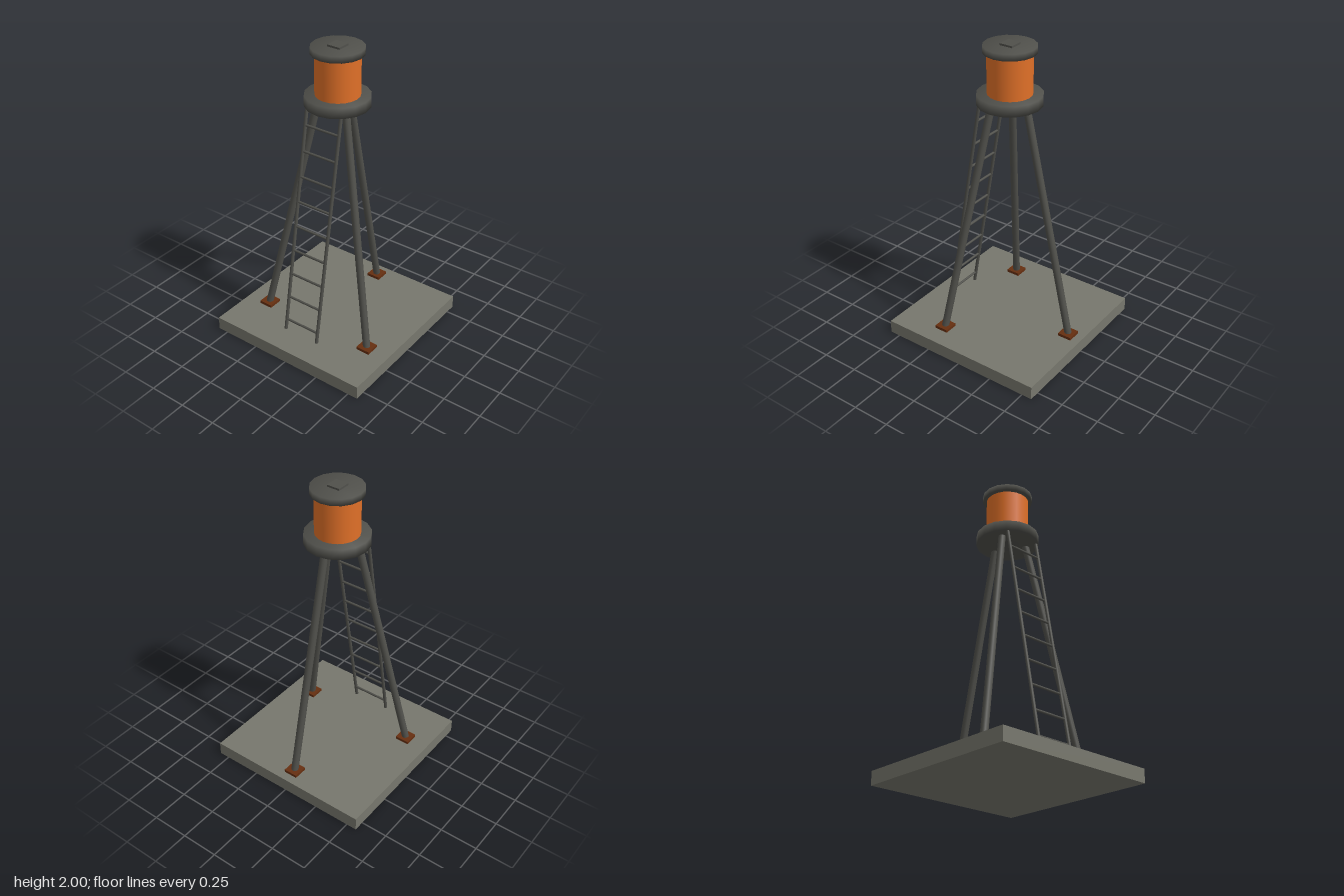
import * as THREE from 'three';
import { mergeVertices } from 'three/addons/utils/BufferGeometryUtils.js';

const mat = (name, color) => {
  const m = new THREE.MeshStandardMaterial({ color });
  m.name = name;
  return m;
};

export function createModel() {
  const model = new THREE.Group();
  model.name = 'waterTower';
  const concrete = mat('concrete', 0x77776d);
  const metal = mat('dark metal', 0x50504b);
  const orange = mat('orange paint', 0xe07028);
  const rust = mat('rusty brown', 0x662f10);

  const add = (name, geometry, material, x, y, z, parent = model) => {
    const mesh = new THREE.Mesh(geometry, material);
    mesh.name = name;
    mesh.position.set(x, y, z);
    parent.add(mesh);
    return mesh;
  };

  // Disc whose shading rolls softly over its rim
  const softDisc = (radius, height) => {
    const g = new THREE.CylinderGeometry(radius, radius, height, 16);
    g.deleteAttribute('uv');
    g.deleteAttribute('normal');
    const merged = mergeVertices(g, 1e-4);
    merged.computeVertexNormals();
    return merged;
  };

  // Round bar between two points
  const bar = (name, a, b, radius, parent = model) => {
    const dir = b.clone().sub(a);
    const mid = a.clone().add(b).multiplyScalar(0.5);
    const mesh = add(name, new THREE.CylinderGeometry(radius, radius, dir.length(), 12), metal, mid.x, mid.y, mid.z, parent);
    mesh.quaternion.setFromUnitVectors(new THREE.Vector3(0, 1, 0), dir.normalize());
    return mesh;
  };

  // Ground slab
  add('baseSlab', new THREE.BoxGeometry(1.14, 0.09, 1.14), concrete, 0, 0.045, 0);

  // Three splayed legs on square feet
  for (let i = 0; i < 3; i++) {
    const a = Math.PI + (i * Math.PI * 2) / 3;
    const sx = Math.sin(a), sz = Math.cos(a);
    add('foot', new THREE.BoxGeometry(0.094, 0.02, 0.094), rust, sx * 0.467, 0.099, sz * 0.467);
    bar('leg', new THREE.Vector3(sx * 0.467, 0.1, sz * 0.467), new THREE.Vector3(sx * 0.12, 1.63, sz * 0.12), 0.024);
  }

  // Leaning ladder
  const ladder = new THREE.Group();
  ladder.name = 'ladder';
  model.add(ladder);
  const railPoint = (x, y) => new THREE.Vector3(x, y, 0.399 - ((y - 0.105) * 0.261) / 1.51);
  for (const x of [-0.126, 0.126]) bar('ladderRail', railPoint(x, 0.105), railPoint(x, 1.615), 0.011, ladder);
  for (let i = 0; i < 9; i++) {
    const y = 0.176 + i * 0.1658;
    bar('ladderRung', railPoint(-0.126, y), railPoint(0.126, y), 0.008, ladder);
  }

  // Platform, tank, lid and hatch
  add('platform', softDisc(0.205, 0.068), metal, 0, 1.65, 0);
  add('tank', new THREE.CylinderGeometry(0.14, 0.14, 0.27, 20), orange, 0, 1.815, 0);
  add('lid', softDisc(0.165, 0.042), metal, 0, 1.967, 0);
  add('hatch', new THREE.BoxGeometry(0.088, 0.016, 0.088), metal, 0, 1.992, 0);

  return model;
}
